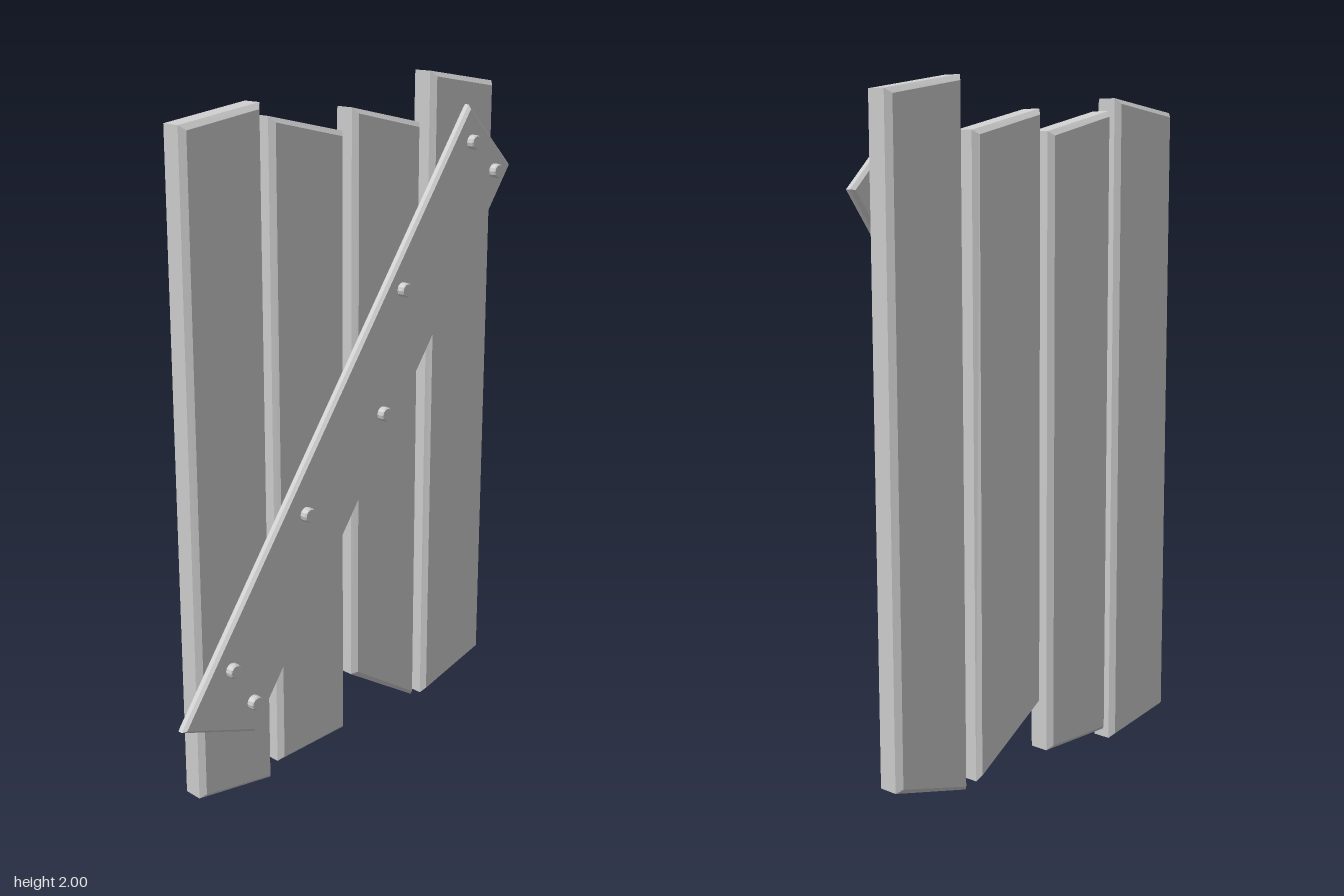
import * as THREE from 'three';

const material = new THREE.MeshStandardMaterial({ color: 0xcccccc, flatShading: true });

// Chamfered board: outline given as [z, y] corners, filling x0..x1
function board(name, corners, x0, x1, bevel) {
  const shape = new THREE.Shape(corners.map(([z, y]) => new THREE.Vector2(-z, y)));
  const geometry = new THREE.ExtrudeGeometry(shape, {
    depth: x1 - x0 - 2 * bevel,
    bevelEnabled: true,
    bevelSegments: 1,
    bevelThickness: bevel,
    bevelSize: bevel,
    bevelOffset: -bevel,
  });
  geometry.translate(0, 0, x0 + bevel);
  geometry.rotateY(Math.PI / 2);
  const mesh = new THREE.Mesh(geometry, material);
  mesh.name = name;
  return mesh;
}

export function createModel() {
  const group = new THREE.Group();
  group.name = 'plankPanel';

  // Upright planks: front z, back z, bottom y and top y at each edge
  const planks = [
    [0.575, 0.307, 0.045, 0.005, 1.92, 1.957],
    [0.278, 0.008, 0.045, 0.055, 1.92, 1.86],
    [-0.027, -0.297, 0.22, 0.055, 1.92, 1.86],
    [-0.34, -0.61, 0.045, 0.12, 2.0, 1.957],
  ];
  planks.forEach(([zf, zb, bf, bb, tf, tb], i) => {
    const corners = [[zf, bf], [zb, bb], [zb, tb], [zf, tf]];
    group.add(board(`plank${i + 1}`, corners, -0.073, 0.013, 0.015));
  });

  // Diagonal brace across the planks
  const braceCorners = [[0.66, 0.3], [0.4, 0.207], [-0.655, 1.71], [-0.464, 1.9]];
  group.add(board('brace', braceCorners, 0.014, 0.046, 0.009));

  // Nail heads, slightly chamfered, pointing along +x
  const profile = [[0, 0], [0.021, 0], [0.021, 0.026], [0.018, 0.03], [0, 0.03]]
    .map(([r, h]) => new THREE.Vector2(r, h));
  const nailGeometry = new THREE.LatheGeometry(profile, 12);
  nailGeometry.rotateZ(-Math.PI / 2);
  const nails = [
    [-0.472, 1.793], [-0.575, 1.7], [-0.185, 1.4], [-0.106, 1.046],
    [0.2, 0.816], [0.485, 0.432], [0.41, 0.307],
  ];
  nails.forEach(([z, y], i) => {
    const nail = new THREE.Mesh(nailGeometry, material);
    nail.name = `nail${i + 1}`;
    nail.position.set(0.038, y, z);
    group.add(nail);
  });

  return group;
}
